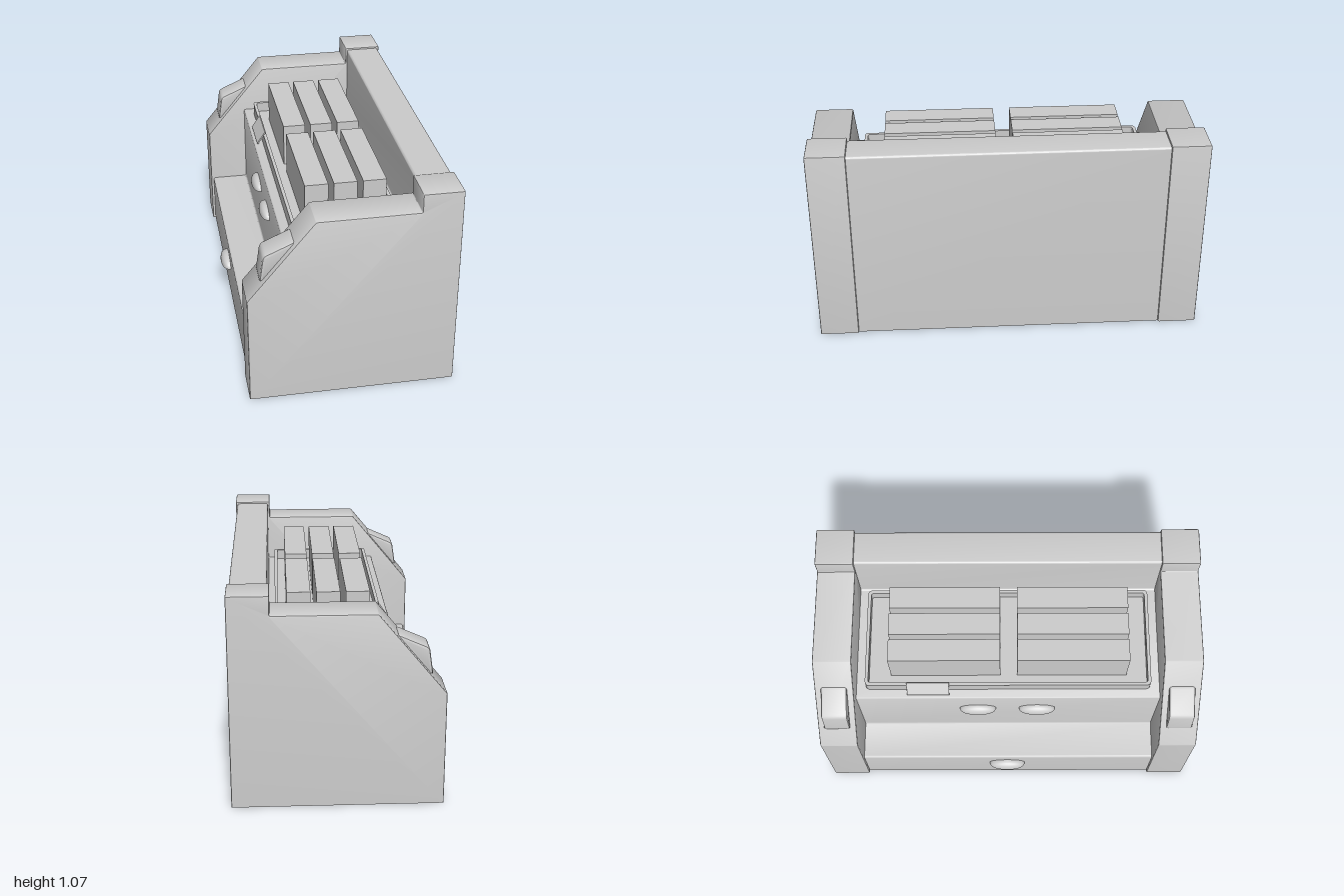
import * as THREE from 'three';
import { toCreasedNormals } from 'three/addons/utils/BufferGeometryUtils.js';
import { RoundedBoxGeometry } from 'three/addons/geometries/RoundedBoxGeometry.js';

// Closed shape through the points, every corner eased by radius r
function easedShape(points, r) {
  const pts = points.map(([x, y]) => new THREE.Vector2(x, y));
  const toward = (a, b) => a.clone().add(b.clone().sub(a).setLength(r));
  const shape = new THREE.Shape();
  pts.forEach((p, i) => {
    const a = toward(p, pts[(i + pts.length - 1) % pts.length]);
    const b = toward(p, pts[(i + 1) % pts.length]);
    if (i === 0) shape.moveTo(a.x, a.y);
    else shape.lineTo(a.x, a.y);
    shape.quadraticCurveTo(p.x, p.y, b.x, b.y);
  });
  shape.closePath();
  return shape;
}

// Extrude a side profile along z, centred, with a small bevel
function slab(points, width, bevel, r) {
  const geo = new THREE.ExtrudeGeometry(easedShape(points, r), {
    depth: width - 2 * bevel, curveSegments: 4, bevelEnabled: bevel > 0,
    bevelThickness: bevel, bevelSize: bevel, bevelOffset: -bevel, bevelSegments: 2,
  });
  return geo.translate(0, 0, bevel - width / 2);
}

// Cut a slab at the ground and leave its underside open
function openBottom(geo) {
  const src = geo.getAttribute('position');
  const out = [];
  for (let i = 0; i < src.count; i += 3) {
    const tri = [0, 1, 2].map((k) => [src.getX(i + k), Math.max(0, src.getY(i + k)), src.getZ(i + k)]);
    if (tri.some((v) => v[1] > 1e-4)) out.push(...tri.flat());
  }
  const cut = new THREE.BufferGeometry();
  cut.setAttribute('position', new THREE.Float32BufferAttribute(out, 3));
  return toCreasedNormals(cut, 0.6);
}

// Half-moon cup pull facing -x, flat underneath
function cupPull() {
  const geo = new THREE.SphereGeometry(1, 24, 8, 0, Math.PI, 0, Math.PI / 2);
  const p = geo.getAttribute('position');
  for (let i = 0; i < p.count; i++) {
    const side = p.getX(i), out = Math.max(0, p.getZ(i));
    p.setXYZ(i, -0.045 * Math.pow(out, 0.7), 0.047 * p.getY(i), 0.097 * side);
  }
  geo.computeVertexNormals();
  return geo;
}

export function createModel() {
  const model = new THREE.Group();
  const grey = new THREE.MeshStandardMaterial({ color: 0xcccccc, side: THREE.DoubleSide });
  grey.name = 'plain grey';
  const add = (name, geo, x = 0, y = 0, z = 0) => {
    const mesh = new THREE.Mesh(geo, grey);
    mesh.name = name;
    mesh.position.set(x, y, z);
    model.add(mesh);
    return mesh;
  };

  // Stepped counter body with the tall back panel
  const body = [[-0.485, -0.05], [0.52, -0.05], [0.52, 1.06], [0.34, 1.06], [0.34, 0.725],
    [-0.285, 0.725], [-0.285, 0.28], [-0.485, 0.28]];
  add('counterBody', openBottom(slab(body, 1.599, 0, 0.012)));

  // End walls with sloped fronts and corner posts, each with a block on the slope
  const wall = [[-0.5, -0.05], [0.53, -0.05], [0.53, 1.07], [0.33, 1.07], [0.33, 0.975],
    [-0.17, 0.975], [-0.5, 0.575]];
  const block = [[-0.435, 0.655], [-0.3, 0.76], [-0.262, 0.863], [-0.415, 0.795]];
  const wallGeo = openBottom(slab(wall, 0.2, 0.008, 0.006));
  const blockGeo = toCreasedNormals(slab(block, 0.135, 0.012, 0.018), 0.6);
  for (const s of [-1, 1]) {
    add('endWall', wallGeo, 0, 0, 0.9 * s);
    add('slopeBlock', blockGeo, 0, 0, 0.9 * s);
  }

  // Tray: raised rim and floor
  const rect = (x0, x1, z) => [[x0, -z], [x1, -z], [x1, z], [x0, z]];
  const rim = easedShape(rect(-0.235, 0.305, 0.75), 0.025);
  rim.holes.push(easedShape(rect(-0.218, 0.288, 0.733), 0.015));
  const rimGeo = new THREE.ExtrudeGeometry(rim, { depth: 0.07, bevelEnabled: false, curveSegments: 4 });
  add('trayRim', toCreasedNormals(rimGeo.rotateX(-Math.PI / 2), 0.6), 0, 0.72, 0);
  add('trayFloor', new THREE.BoxGeometry(0.51, 0.012, 1.47), 0.035, 0.73, 0);

  // Two rows of three boxes in the tray
  const boxGeo = new THREE.BoxGeometry(0.117, 0.23, 0.577);
  for (const z of [-0.329, 0.337]) {
    for (const x of [-0.102, 0.043, 0.189]) add('trayBox', boxGeo, x, 0.847, z);
  }

  // Tilted label leaning on the tray rim
  const label = add('labelPlate', new RoundedBoxGeometry(0.009, 0.082, 0.222, 1, 0.002), -0.246, 0.77, -0.42);
  label.rotation.z = -0.59;

  // Drawer pulls, one below and two above
  const pull = cupPull();
  const pullBase = new THREE.BoxGeometry(0.026, 0.004, 0.15);
  for (const [x, y, z] of [[-0.485, 0.18, -0.005], [-0.282, 0.565, -0.162], [-0.282, 0.565, 0.155]]) {
    add('drawerPull', pull, x, y, z);
    add('pullUnderside', pullBase, x - 0.015, y + 0.002, z);
  }
  return model;
}
